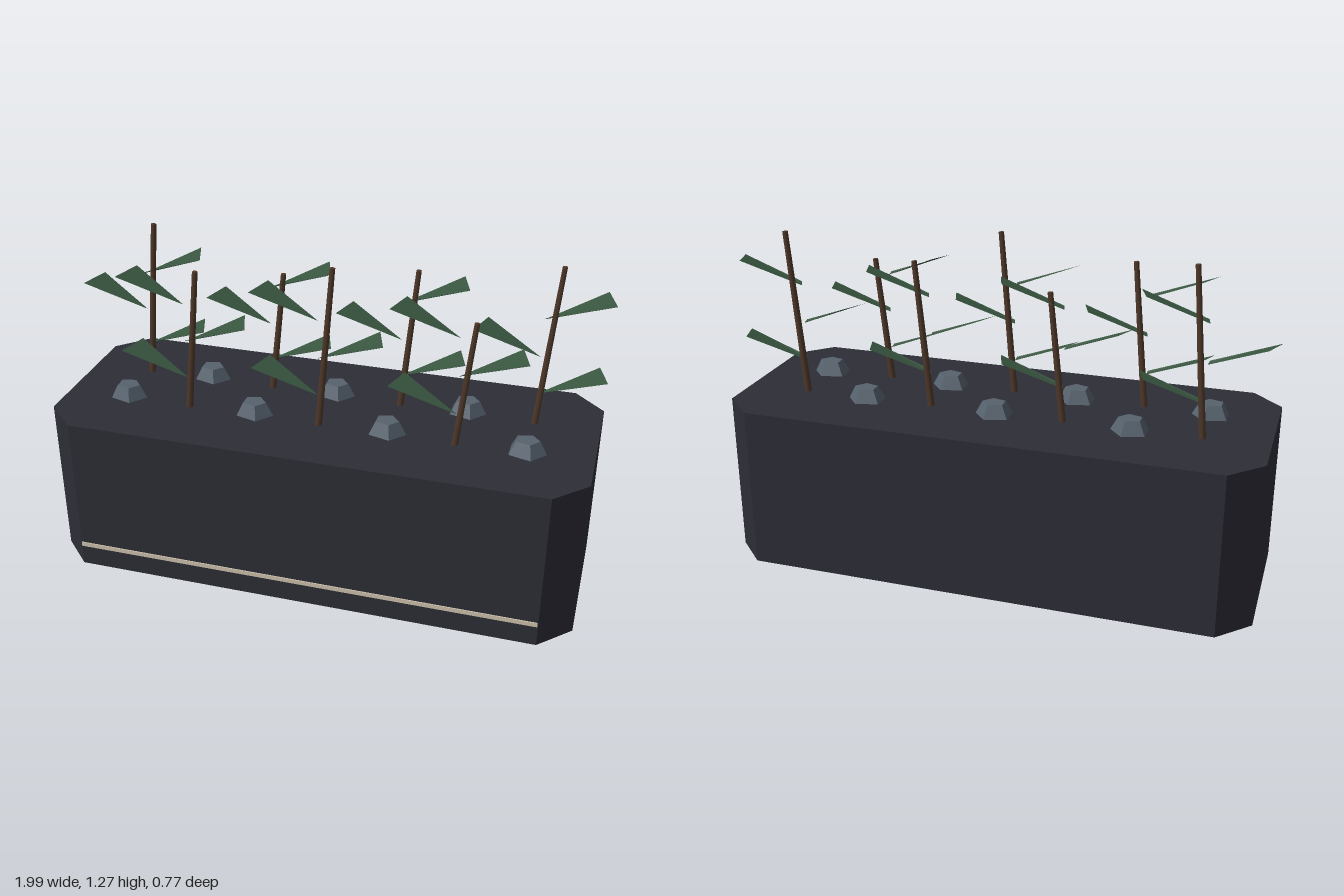
import * as THREE from 'three';

const mat = (name, color, extra = {}) => {
  const m = new THREE.MeshStandardMaterial({ color, ...extra });
  m.name = name;
  return m;
};

export function createModel() {
  const planterMat = mat('charcoal', 0x2d2d37);
  const trimMat = mat('cream trim', 0xd0c4ae);
  const stemMat = mat('brown stem', 0x50392a);
  const leafMat = mat('leaf green', 0x38553f, { side: THREE.DoubleSide });
  const stoneMat = mat('grey stone', 0x56626e, { flatShading: true });

  const model = new THREE.Group();
  model.name = 'planter';
  const add = (name, geometry, material, x = 0, y = 0, z = 0, parent = model) => {
    const mesh = new THREE.Mesh(geometry, material);
    mesh.name = name;
    mesh.position.set(x, y, z);
    parent.add(mesh);
    return mesh;
  };

  // Trough with chamfered upright corners
  const X = 0.99, Z = 0.383, C = 0.115;
  const outline = new THREE.Shape([
    [X, Z - C], [X - C, Z], [C - X, Z], [-X, Z - C],
    [-X, C - Z], [C - X, -Z], [X - C, -Z], [X, C - Z],
  ].map(([x, z]) => new THREE.Vector2(x, z)));
  const trough = new THREE.ExtrudeGeometry(outline, { depth: 0.613, bevelEnabled: false });
  trough.rotateX(-Math.PI / 2);
  add('trough', trough, planterMat, 0, 0.04, 0);

  // Recessed plinth and front trim line
  add('plinth', new THREE.BoxGeometry(1.75, 0.04, 0.58), planterMat, 0, 0.02, 0);
  add('frontTrim', new THREE.BoxGeometry(1.745, 0.017, 0.006), trimMat, 0, 0.13, Z + 0.001);

  // Leaf: narrow at the stem, wide and raised at the outer end
  const leafGeometry = (side) => {
    const g = new THREE.BufferGeometry();
    g.setAttribute('position', new THREE.Float32BufferAttribute([
      0, 0, 0.002, 0.005 * side, 0.01, 0.018,
      0.242 * side, 0.09, 0.035, 0.205 * side, 0.096, -0.075,
    ], 3));
    g.setIndex(side > 0 ? [0, 1, 2, 0, 2, 3] : [0, 2, 1, 0, 3, 2]);
    g.computeVertexNormals();
    return g;
  };
  const leaves = { 1: leafGeometry(1), [-1]: leafGeometry(-1) };

  // Low five-sided stones
  const stoneGeometry = new THREE.CylinderGeometry(0.045, 0.072, 0.05, 5);
  stoneGeometry.rotateY(Math.PI / 2);
  stoneGeometry.scale(1, 1, 0.85);

  // Seven leaning plants and stones in two staggered rows
  const ground = 0.65;
  for (let i = 0; i < 7; i++) {
    const even = i % 2 === 0;
    const x = (i - 3) * 0.251;
    const plant = new THREE.Group();
    plant.name = 'plant';
    plant.position.set(x, 0, even ? -0.106 : 0.124);
    model.add(plant);

    const height = [1.27, 1.2, 1.13][i % 3] - ground;
    const stem = new THREE.CylinderGeometry(0.01, 0.013, height, 6);
    const stemMesh = add('stem', stem, stemMat, 0.026, ground + height / 2, 0, plant);
    stemMesh.rotation.z = -Math.atan(0.052 / height);

    for (let k = 0; k < 3; k++) {
      const side = (i + k) % 2 === 0 ? 1 : -1;
      add('leaf', leaves[side], leafMat, 0, 0.777 + k * 0.146, 0, plant);
    }
    add('stone', stoneGeometry, stoneMat, x, 0.678, even ? 0.107 : -0.122);
  }
  return model;
}
